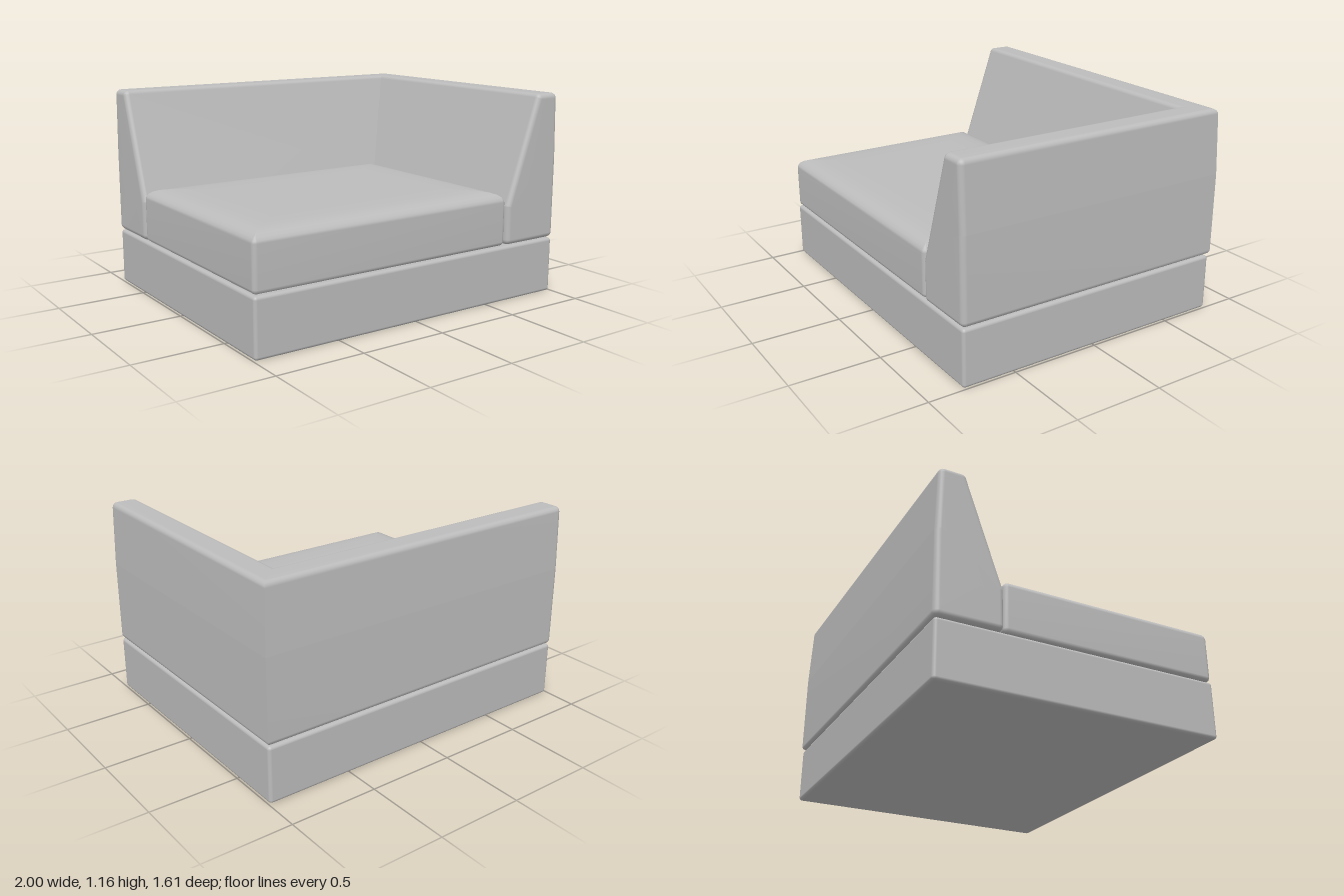
import * as THREE from 'three';
import { mergeVertices } from 'three/addons/utils/BufferGeometryUtils.js';
import { RoundedBoxGeometry } from 'three/addons/geometries/RoundedBoxGeometry.js';

// Counter-clockwise convex polygon, inset by t, with rounded corners.
function outline(corners, radius, t) {
  const r = Math.max(radius - t, 0.002), steps = 4, n = corners.length, pts = [];
  const normal = (a, b) => new THREE.Vector2(b[1] - a[1], a[0] - b[0]).normalize();
  corners.forEach((c, i) => {
    const n1 = normal(corners[(i + n - 1) % n], c);
    const n2 = normal(c, corners[(i + 1) % n]);
    const centre = new THREE.Vector2(...c)
      .addScaledVector(n1.clone().add(n2), -(t + r) / (1 + n1.dot(n2)));
    const turn = Math.atan2(n1.cross(n2), n1.dot(n2));
    for (let k = 0; k <= steps; k++) {
      const dir = n1.clone().rotateAround(new THREE.Vector2(), turn * k / steps);
      pts.push(centre.clone().addScaledVector(dir, r));
    }
  });
  return pts;
}

// Skin a stack of equal rings, closing the start and/or end.
function loft(rings, capStart, capEnd) {
  const n = rings[0].length, pts = rings.flat(), index = [];
  for (let j = 0; j < rings.length - 1; j++) {
    for (let i = 0; i < n; i++) {
      const a = j * n + i, b = j * n + (i + 1) % n;
      index.push(a, b, b + n, a, b + n, a + n);
    }
  }
  const cap = (j, flip) => {
    const mid = new THREE.Vector3();
    rings[j].forEach(p => mid.addScaledVector(p, 1 / n));
    const m = pts.push(mid) - 1;
    for (let i = 0; i < n; i++) {
      const a = j * n + i, b = j * n + (i + 1) % n;
      index.push(m, flip ? b : a, flip ? a : b);
    }
  };
  if (capStart) cap(0, true);
  if (capEnd) cap(rings.length - 1, false);
  let geo = new THREE.BufferGeometry().setFromPoints(pts);
  geo.setIndex(index);
  geo = mergeVertices(geo, 1e-5);
  geo.computeVertexNormals();
  return geo;
}

export function createModel() {
  const group = new THREE.Group();
  const fabric = new THREE.MeshStandardMaterial({ color: 0xbcbcbc });
  fabric.name = 'grey fabric';
  const add = (name, geo) => {
    const mesh = new THREE.Mesh(geo, fabric);
    mesh.name = name;
    group.add(mesh);
    return mesh;
  };
  const X = 1, Z = 0.807;

  // Plinth
  add('base', new RoundedBoxGeometry(1.99, 0.32, 1.605, 4, 0.018)).position.y = 0.16;

  // Crowned seat cushion, lofted upwards: [inset, height]
  const seat = [[-0.995, -0.8], [0.622, -0.8], [0.622, 0.437], [-0.995, 0.437]];
  const layers = [[0.03, 0.325], [0.015, 0.328], [0.004, 0.336], [0, 0.35], [0, 0.575],
    [0.004, 0.588], [0.015, 0.602], [0.035, 0.616], [0.065, 0.627], [0.11, 0.634],
    [0.18, 0.638], [0.3, 0.64]];
  add('seatCushion', loft(layers.map(([t, y]) =>
    outline(seat, 0.025, t).map(p => new THREE.Vector3(p.x, y, -p.y))), true, true));

  // Sloped rest profile: [distance from the outer face, height]
  const profile = [[0, 0.325], [0.37, 0.325], [0.37, 0.55], [0.157, 1.165], [0.012, 1.165], [0, 0.8]];
  const R = 0.03;
  // Rings from the rounded free end to the mitred corner; place(d, y, s) with s = inset
  // from the free end, or null on the mitre.
  const restRings = place => {
    const rings = [];
    for (let k = 5; k >= 0; k--) {
      const a = k / 5 * Math.PI / 2;
      rings.push(outline(profile, R, R * (1 - Math.cos(a)))
        .map(p => place(p.x, p.y, R * (1 - Math.sin(a)))));
    }
    rings.push(outline(profile, R, 0).map(p => place(p.x, p.y, null)));
    return rings;
  };
  const side = restRings((d, y, s) =>
    new THREE.Vector3(X - d, y, s === null ? d - Z : Z - s));
  const back = restRings((d, y, s) =>
    new THREE.Vector3(s === null ? X - d : s - X, y, d - Z));
  add('sideRest', loft(side, true, false));
  add('backRest', loft(back.reverse(), false, true));

  return group;
}
